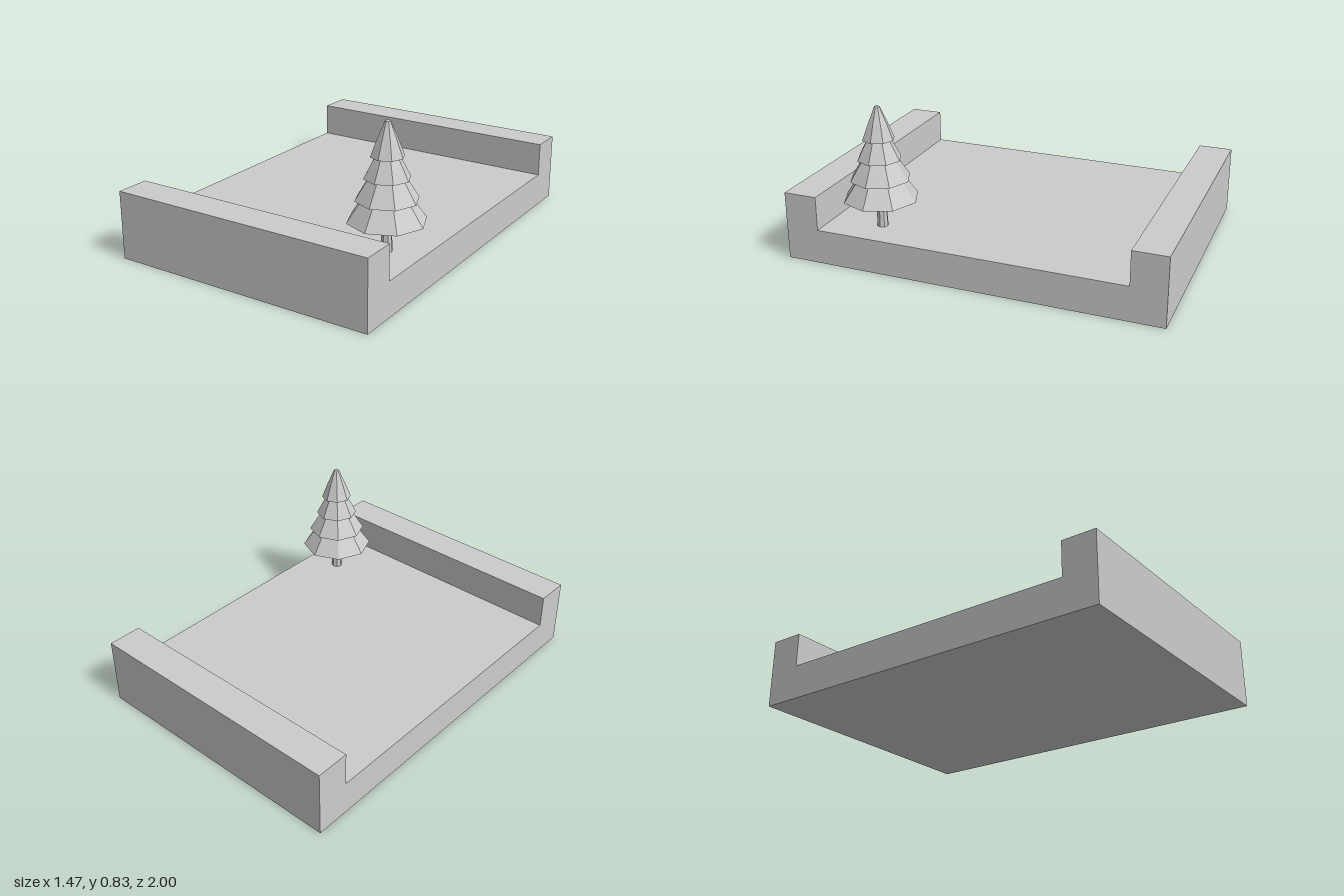
import * as THREE from 'three';

export function createModel() {
  const model = new THREE.Group();
  const material = new THREE.MeshStandardMaterial({ color: 0xcccccc, flatShading: true });
  const add = (parent, name, geometry) => {
    const mesh = new THREE.Mesh(geometry, material);
    mesh.name = name;
    parent.add(mesh);
    return mesh;
  };

  // Ground block: a shallow channel section, extruded along x
  const section = new THREE.Shape([
    [-1, 0], [1, 0], [1, 0.364], [0.82, 0.364],
    [0.82, 0.183], [-0.82, 0.183], [-0.82, 0.364], [-1, 0.364],
  ].map(([z, y]) => new THREE.Vector2(z, y)));
  const ground = new THREE.ExtrudeGeometry(section, { depth: 1.455, bevelEnabled: false });
  ground.rotateY(-Math.PI / 2).translate(0.72, 0, 0);
  add(model, 'groundWithWalls', ground);

  // Conifer standing beside the front wall
  const tree = new THREE.Group();
  tree.name = 'tree';
  tree.position.set(0.537, 0, 0.544);
  model.add(tree);

  const trunk = new THREE.CylinderGeometry(0.022, 0.03, 0.19, 8);
  trunk.translate(0, 0.275, 0);
  add(tree, 'trunk', trunk);

  // Four flared tiers: rim radius and height, then top radius and height
  const tiers = [
    [0.195, 0.337, 0.118, 0.448],
    [0.156, 0.443, 0.086, 0.555],
    [0.114, 0.549, 0.056, 0.66],
    [0.083, 0.654, 0.014, 0.823],
  ];
  const profile = [new THREE.Vector2(0, 0.345)];
  for (const [rimR, rimY, topR, topY] of tiers) {
    profile.push(
      new THREE.Vector2(rimR, rimY),
      new THREE.Vector2(rimR * 0.53 + topR * 0.45, (rimY + topY) / 2),
      new THREE.Vector2(topR, topY),
    );
  }
  profile.push(new THREE.Vector2(0, 0.83));
  add(tree, 'foliage', new THREE.LatheGeometry(profile, 8));

  return model;
}
